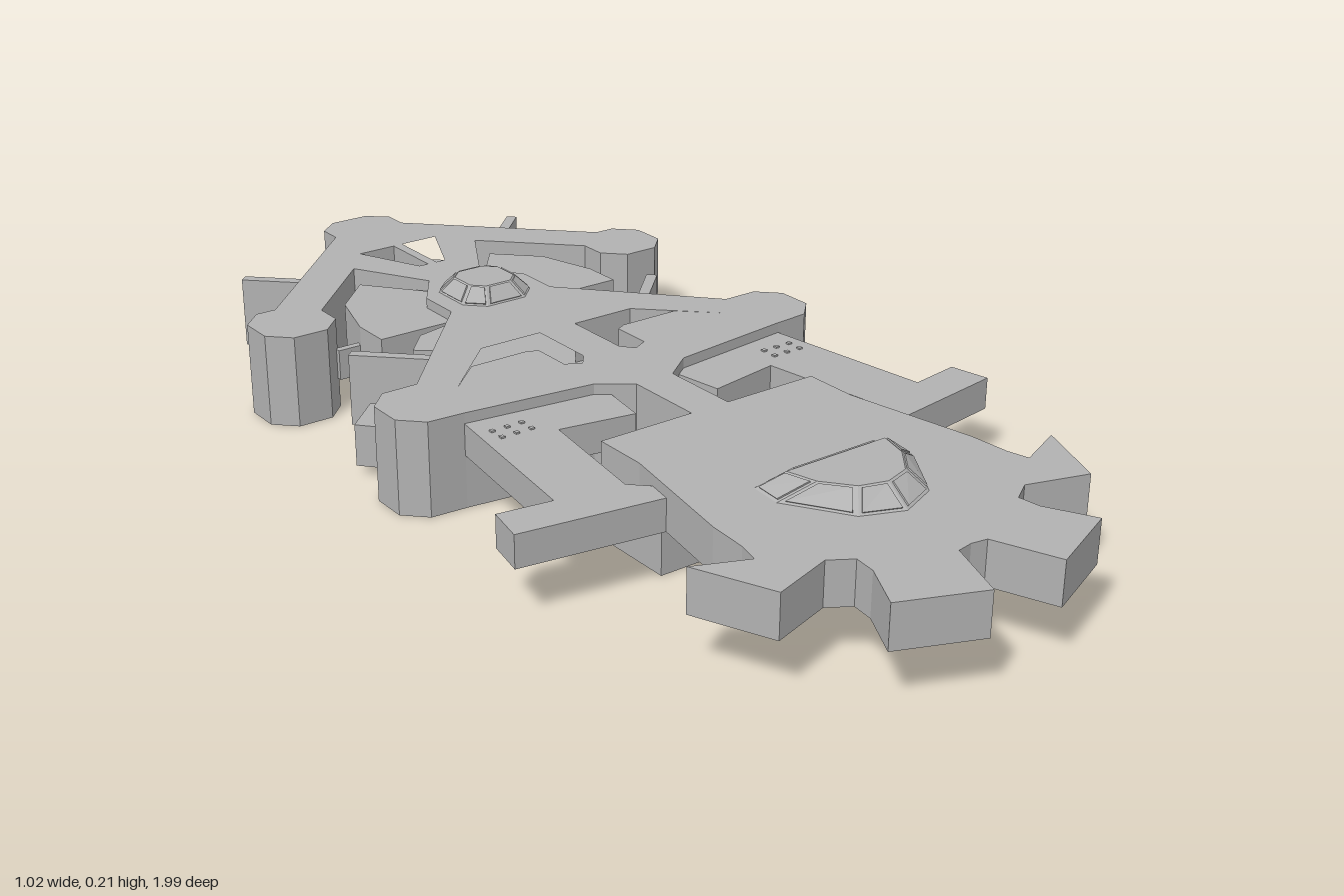
import * as THREE from 'three';

export function createModel() {
  const model = new THREE.Group();
  const hull = new THREE.MeshStandardMaterial({ color: 0xb2b2b2 });
  hull.name = 'hull grey';

  const flip = pts => pts.map(([x, z]) => [-x, z]);
  // full outline from its +x half, listed back to front
  const mirror = half => [...half, ...flip(half.filter(p => p[0] > 0)).reverse()];
  const vec = pts => pts.map(([x, z]) => new THREE.Vector2(x, -z));

  function add(geometry, name) {
    const mesh = new THREE.Mesh(geometry, hull);
    mesh.name = name;
    model.add(mesh);
    return mesh;
  }
  // flat outline in x, z raised from y0 to y1
  function slab(name, pts, y0, y1, holes = []) {
    const shape = new THREE.Shape(vec(pts));
    holes.forEach(h => shape.holes.push(new THREE.Path(vec(h))));
    const g = new THREE.ExtrudeGeometry(shape, { depth: y1 - y0, bevelEnabled: false });
    g.rotateX(-Math.PI / 2);
    g.translate(0, y0, 0);
    return add(g, name);
  }
  function pair(name, pts, y0, y1) {
    slab(name + 'Left', pts, y0, y1);
    slab(name + 'Right', flip(pts), y0, y1);
  }
  // sloped faceted dome with slightly raised panes
  function dome(name, low, high, y0, y1) {
    const ring = (half, y) => mirror(half).reverse().map(([x, z]) => new THREE.Vector3(x, y, z));
    const b = ring(low, y0), t = ring(high, y1), n = b.length;
    const pos = [];
    const tri = (...v) => v.forEach(p => pos.push(p.x, p.y, p.z));
    for (let i = 0; i < n; i++) {
      const j = (i + 1) % n;
      const quad = [b[i], b[j], t[j], t[i]];
      const mid = new THREE.Vector3();
      quad.forEach(p => mid.addScaledVector(p, 0.25));
      const out = b[j].clone().sub(b[i]).cross(t[i].clone().sub(b[i])).normalize();
      const pane = quad.map(p => p.clone().lerp(mid, 0.18).addScaledVector(out, 0.003));
      tri(quad[0], quad[1], quad[2], quad[0], quad[2], quad[3]);
      tri(pane[0], pane[1], pane[2], pane[0], pane[2], pane[3]);
      // pane edges
      for (let k = 0; k < 4; k++) {
        const m = (k + 1) % 4;
        const base = [k, m].map(q => pane[q].clone().addScaledVector(out, -0.003));
        tri(base[0], base[1], pane[m], base[0], pane[m], pane[k]);
      }
      if (i > 0 && i < n - 1) tri(t[0], t[i], t[j]);
    }
    const g = new THREE.BufferGeometry();
    g.setAttribute('position', new THREE.Float32BufferAttribute(pos, 3));
    g.computeVertexNormals();
    add(g, name);
  }
  // truss in three layers: pierced bottom, solid web, pierced top
  function truss(name, outline, lowHoles, highHoles) {
    slab(name + 'Lower', outline, 0, 0.08, lowHoles);
    slab(name + 'Web', outline, 0.08, 0.1);
    slab(name + 'Upper', outline, 0.1, 0.18, highHoles);
  }

  // middle truss with hub and spine
  const midLow = [[0.035, -0.33], [0.30, -0.07], [0.035, -0.05]];
  const midHigh = [[0.17, -0.2], [0.04, -0.2], [0.04, -0.06], [0.06, -0.035], [0.09, -0.05],
    [0.09, -0.13], [0.11, -0.14], [0.23, -0.14], [0.305, -0.07]];
  truss('middleTruss', mirror([[0.06, -0.56], [0.115, -0.48], [0.115, -0.39], [0.35, -0.13],
    [0.42, -0.13], [0.46, -0.09], [0.46, -0.02], [0.42, 0.02], [0.35, 0.025], [0.1, 0.055],
    [0.04, 0.1], [0.04, 0.26]]), [midLow, flip(midLow)], [midHigh, flip(midHigh)]);

  // rear V truss
  const rearHole = [[0.01, -0.78], [0.09, -0.78], [0.03, -0.645], [0.01, -0.645]];
  truss('rearTruss', mirror([[0.04, -0.985], [0.08, -0.95], [0.08, -0.9], [0.38, -0.6],
    [0.42, -0.6], [0.46, -0.56], [0.46, -0.49], [0.42, -0.45], [0.35, -0.45], [0.31, -0.49],
    [0.31, -0.545], [0.145, -0.71], [0.06, -0.56]]),
  [rearHole, flip(rearHole)], [rearHole, flip(rearHole)]);

  // front command deck with stub teeth and the block beneath it
  slab('frontDeck', mirror([[0.23, 0.255], [0.23, 0.36], [0.275, 0.605], [0.28, 0.72 - 0.005 * 8],
    [0.29, 0.72], [0.385, 0.68], [0.325, 0.82], [0.21, 0.785], [0.17, 0.81], [0.175, 0.85],
    [0.22, 0.935], [0.075, 0.995], [0.03, 0.88], [0, 0.875]]), 0.1, 0.18);
  slab('deckBlock', mirror([[0.23, 0.255], [0.23, 0.42]]), 0, 0.1);

  // side arms with crossbars, and stubs beside the spine
  pair('sideArm', [[0.35, 0.02], [0.395, 0.355], [0.495, 0.34], [0.51, 0.38 + 0.035], [0.24, 0.455],
    [0.235, 0.41], [0.27, 0.375], [0.235, 0.14], [0.235, 0.02]], 0.1, 0.16);
  pair('innerStub', [[0.24, 0.02], [0.235, 0.14], [0.09, 0.165], [0.07, 0.04]], 0.1, 0.16);

  // bays, pods and fins around the trusses
  pair('rearBay', [[0.1, -0.39], [0.27, -0.39], [0.27, -0.47], [0.235, -0.59], [0.155, -0.67],
    [0.06, -0.55], [0.1, -0.48]], 0.02, 0.16);
  pair('bayLink', [[0.265, -0.49], [0.315, -0.49], [0.315, -0.475], [0.265, -0.475]], 0.06, 0.12);
  pair('sidePod', [[0.44, -0.2], [0.37, -0.265], [0.28, -0.18], [0.36, -0.11]], 0.02, 0.1);
  pair('shoulderBlock', [[0.25, -0.31], [0.2, -0.365], [0.11, -0.385], [0.2, -0.27]], 0.02, 0.16);
  pair('middleFin', [[0.358, -0.36], [0.342, -0.375], [0.2, -0.235], [0.215, -0.22]], 0.02, 0.16);
  pair('rearFin', [[0.333, -0.835], [0.318, -0.85], [0.2, -0.735], [0.215, -0.72]], 0.02, 0.16);

  // small studs on the side arms
  for (const s of [-1, 1]) for (let i = 0; i < 3; i++) for (let j = 0; j < 2; j++) {
    const stud = add(new THREE.BoxGeometry(0.008, 0.004, 0.008), 'armStud');
    stud.position.set(s * (0.27 + i * 0.03), 0.161, 0.08 + j * 0.03);
  }
  // tiny stern light
  add(new THREE.BoxGeometry(0.014, 0.014, 0.02), 'sternLight').position.set(-0.055, 0.02, -0.988);

  // front and hub domes
  dome('frontDome', [[0.14, 0.54], [0.145, 0.6], [0.075, 0.71], [0, 0.74]],
    [[0.105, 0.575], [0.09, 0.63], [0.05, 0.68], [0, 0.695]], 0.18, 0.213);
  const octagon = r => [[0.55, -1], [1, -0.55], [1, 0.55], [0.55, 1]].map(([x, z]) => [x * r, z * r - 0.45]);
  dome('hubDome', octagon(0.078), octagon(0.05), 0.18, 0.21);

  return model;
}
